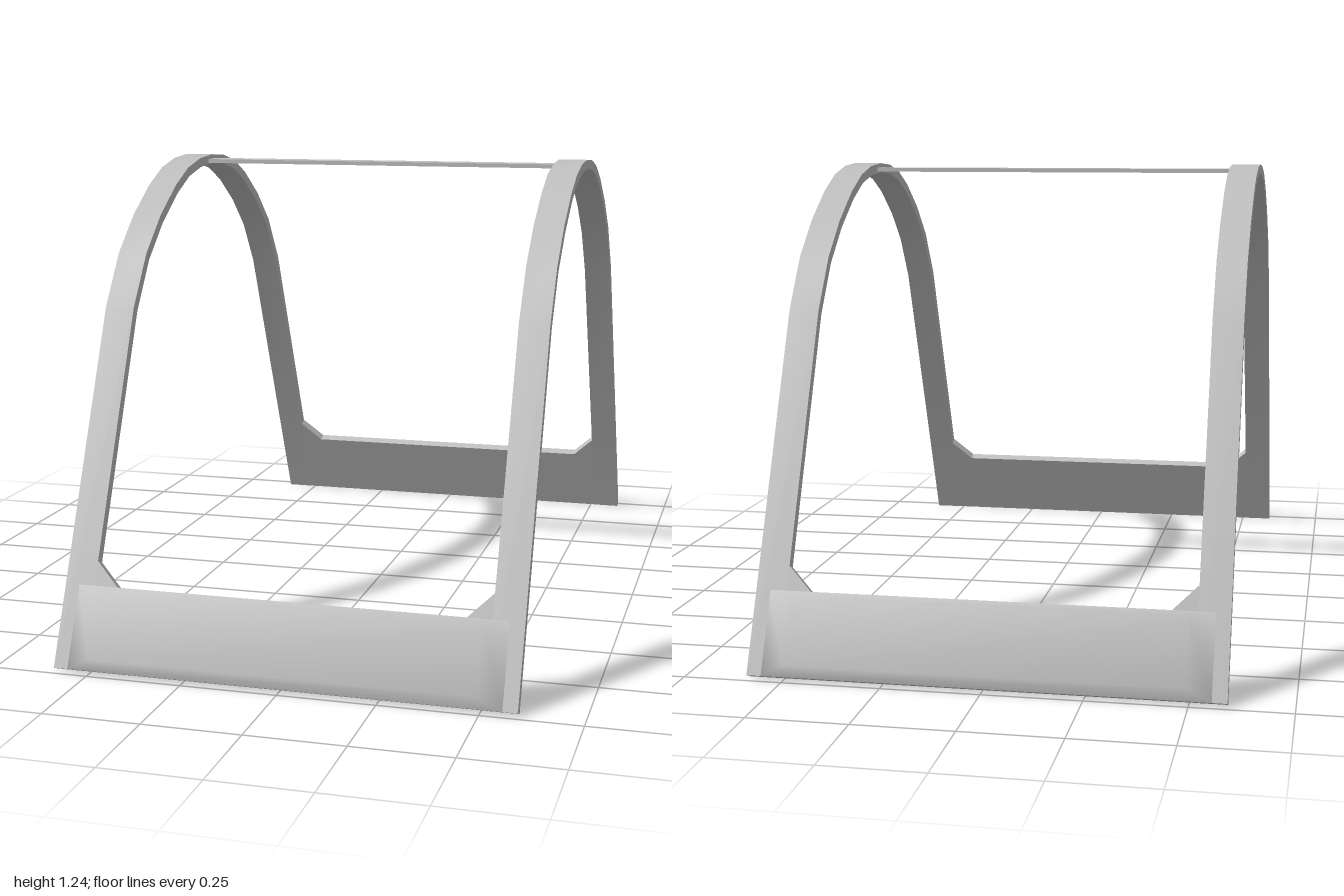
import * as THREE from 'three';
import { toCreasedNormals } from 'three/addons/utils/BufferGeometryUtils.js';

const THICK = 0.026;   // thickness of the bent strip
const INNER = 0.513;   // inner edge of the side arches
const OUTER = 0.592;   // outer edge of the side arches

function mesh(name, geometry, material) {
  const m = new THREE.Mesh(geometry, material);
  m.name = name;
  return m;
}

// Arch strip: centre line (z, y) offset to both sides, extruded across x
function archGeometry() {
  const half = [[0.9785, 0.006], [0.595, 0.87], [0.503, 1.0], [0.4, 1.09],
    [0.285, 1.163], [0.19, 1.205], [0.095, 1.226]];
  const line = [...half, [0, 1.232], ...half.slice().reverse().map(([z, y]) => [-z, y])]
    .map(([z, y]) => new THREE.Vector2(z, y));
  const outer = [], inner = [];
  line.forEach((p, i) => {
    const a = line[Math.max(i - 1, 0)], b = line[Math.min(i + 1, line.length - 1)];
    const d1 = (i ? p.clone().sub(a) : b.clone().sub(p)).normalize();
    const d2 = (i < line.length - 1 ? b.clone().sub(p) : d1.clone()).normalize();
    const t = d1.clone().add(d2).normalize();
    const n = new THREE.Vector2(t.y, -t.x).multiplyScalar(THICK / 2 / t.dot(d1));
    outer.push(p.clone().add(n));
    inner.push(p.clone().sub(n));
  });
  const shape = new THREE.Shape([...outer, ...inner.reverse()]);
  const geo = new THREE.ExtrudeGeometry(shape, { depth: OUTER - INNER, bevelEnabled: false });
  geo.translate(0, 0, -(OUTER - INNER) / 2).rotateY(-Math.PI / 2);
  return toCreasedNormals(geo, 0.5);
}

// Flat cross plate with gusset corners, outer face at local z = 0
function plateGeometry() {
  const shape = new THREE.Shape([[-INNER, 0], [INNER, 0], [INNER, 0.276], [0.45, 0.213],
    [-0.45, 0.213], [-INNER, 0.276]].map(([x, y]) => new THREE.Vector2(x, y)));
  return new THREE.ExtrudeGeometry(shape, { depth: THICK, bevelEnabled: false }).translate(0, 0, -THICK);
}

// Raised panel with softly shaded sloping borders
function panelGeometry() {
  const ring = (x, y0, y1, z) => [-x, y0, z, x, y0, z, x, y1, z, -x, y1, z];
  const index = [4, 5, 6, 4, 6, 7];
  for (let i = 0; i < 4; i++) {
    const j = (i + 1) % 4;
    index.push(i, j, j + 4, i, j + 4, i + 4);
  }
  const geo = new THREE.BufferGeometry();
  geo.setAttribute('position', new THREE.Float32BufferAttribute(
    [...ring(0.555, 0, 0.213, 0), ...ring(0.495, 0.027, 0.196, 0.021)], 3));
  geo.setIndex(index);
  geo.computeVertexNormals();
  return geo;
}

export function createModel() {
  const model = new THREE.Group();
  model.name = 'archFrame';
  const grey = new THREE.MeshStandardMaterial({ color: 0xbfbfbf });
  grey.name = 'light grey';

  // Side arches
  const arch = archGeometry();
  for (const [name, s] of [['leftArch', 1], ['rightArch', -1]]) {
    const m = mesh(name, arch, grey);
    m.position.x = s * (INNER + OUTER) / 2;
    model.add(m);
  }

  // Foot panels at front and back, leaning with the legs
  const plate = plateGeometry(), panel = panelGeometry();
  const lean = -Math.atan2(0.3835, 0.864);
  for (const [name, turn] of [['frontFoot', 0], ['backFoot', Math.PI]]) {
    const tilt = new THREE.Group();
    tilt.position.set(0, 0.0115, 0.9905);
    tilt.rotation.x = lean;
    tilt.add(mesh('crossPlate', plate, grey), mesh('raisedPanel', panel, grey));
    const foot = new THREE.Group();
    foot.name = name;
    foot.rotation.y = turn;
    foot.add(tilt);
    model.add(foot);
  }

  // Thin flat bar joining the arches at the top
  const bar = mesh('topBar', new THREE.BoxGeometry(INNER * 2 + 0.01, 0.011, 0.066), grey);
  bar.position.set(0, 1.227, -0.003);
  model.add(bar);

  return model;
}
